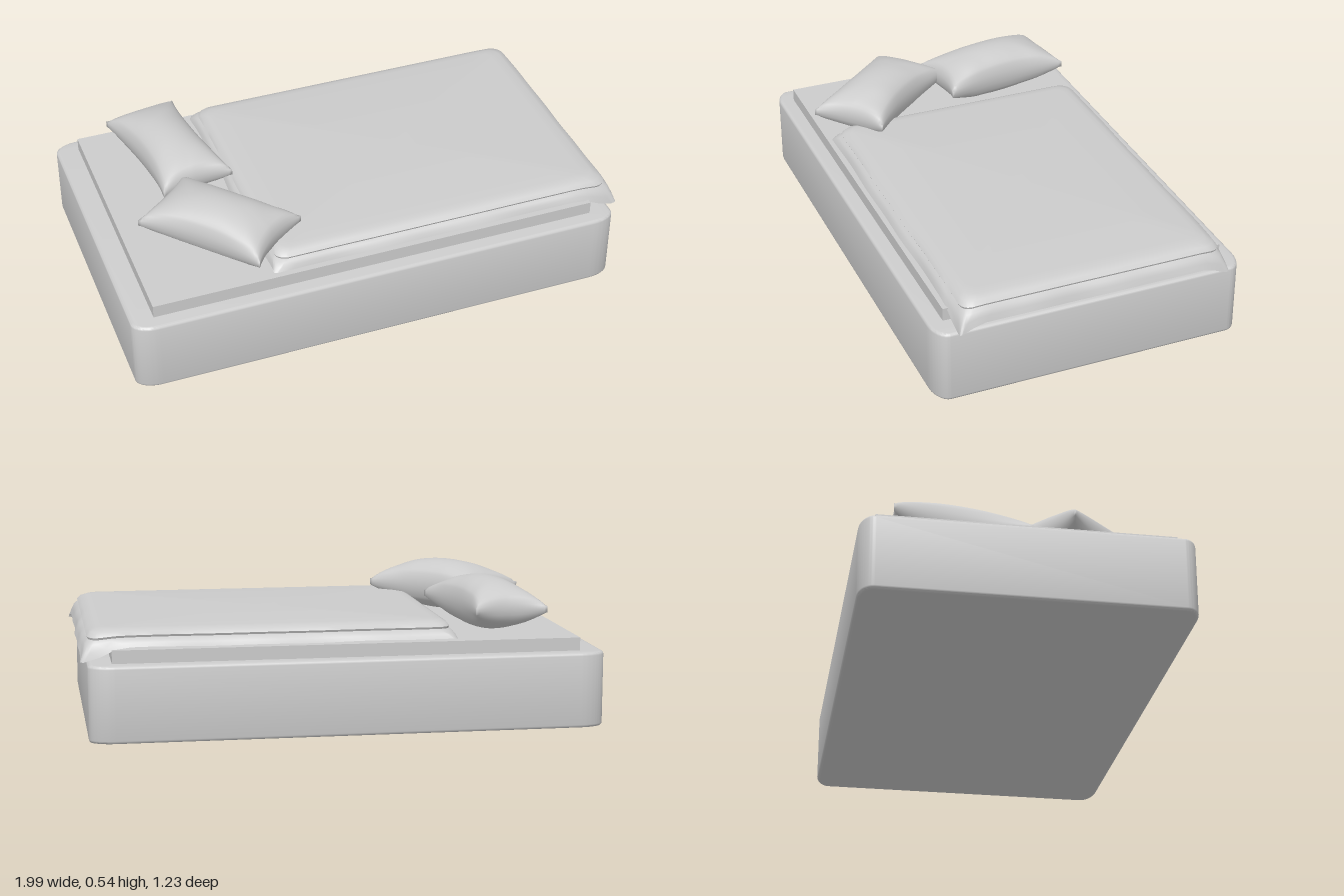
import * as THREE from 'three';
import { mergeVertices, toCreasedNormals } from 'three/addons/utils/BufferGeometryUtils.js';

const material = new THREE.MeshStandardMaterial({ color: 0xcccccc, side: THREE.DoubleSide });

function addMesh(parent, name, geometry) {
  const mesh = new THREE.Mesh(geometry, material);
  mesh.name = name;
  parent.add(mesh);
  return mesh;
}

// Rounded slab: elliptical plan corners and a small bevel on top and bottom
function slab(hx, hz, height, rx, rz, bevel) {
  const a = hx - bevel, b = hz - bevel, shape = new THREE.Shape();
  shape.moveTo(a, -b + rz);
  [[1, 1, 0], [-1, 1, 1], [-1, -1, 2], [1, -1, 3]].forEach(([sx, sz, q]) =>
    shape.absellipse(sx * (a - rx), sz * (b - rz), rx, rz, q * Math.PI / 2, (q + 1) * Math.PI / 2, false));
  const geometry = new THREE.ExtrudeGeometry(shape, {
    depth: height - 2 * bevel, bevelSize: bevel, bevelThickness: bevel, bevelSegments: 3, curveSegments: 10,
  });
  geometry.rotateX(-Math.PI / 2).translate(0, bevel, 0);
  return toCreasedNormals(geometry, 0.6);
}

// Points round a rounded rectangle, with the same count for every ring
function ringPoints(x0, x1, hz, r) {
  const corners = [[x1 - r, hz - r], [x0 + r, hz - r], [x0 + r, r - hz], [x1 - r, r - hz]];
  const arcs = corners.map(([cx, cz], q) => Array.from({ length: 7 }, (_, i) => {
    const angle = (q + i / 6) * Math.PI / 2;
    return new THREE.Vector2(cx + r * Math.cos(angle), cz + r * Math.sin(angle));
  }));
  return arcs.flatMap((arc, q) => {
    const next = arcs[(q + 1) % 4][0];
    const edge = Array.from({ length: 23 }, (_, i) => arc[6].clone().lerp(next, (i + 1) / 24));
    return [...arc, ...edge];
  });
}

// Blanket: open sheet of rings running from the flat top down to the hem
function blanketGeometry() {
  // x0, x1, half depth, corner radius, y, y at the foot end, wrinkle size
  const rings = [
    [-0.36, 0.88, 0.455, 0.04, 0.412, 0.412, 0],
    [-0.39, 0.92, 0.480, 0.05, 0.409, 0.409, 0],
    [-0.408, 0.945, 0.502, 0.05, 0.401, 0.400, 0],
    [-0.416, 0.958, 0.514, 0.05, 0.388, 0.385, 0.001],
    [-0.412, 0.955, 0.510, 0.045, 0.380, 0.378, 0.001],
    [-0.422, 0.968, 0.522, 0.045, 0.374, 0.368, 0.002],
    [-0.430, 0.977, 0.531, 0.03, 0.362, 0.348, 0.003],
    [-0.436, 0.985, 0.538, 0.015, 0.346, 0.325, 0.004],
  ];
  const positions = [], index = [];
  let count = 0;
  for (const [x0, x1, hz, r, y, yFoot, wrinkle] of rings) {
    const points = ringPoints(x0, x1, hz, r);
    count = points.length;
    points.forEach((p, i) => {
      const foot = THREE.MathUtils.smoothstep(p.x, 0.82, 0.97);
      const tip = foot * THREE.MathUtils.smoothstep(Math.abs(p.y), 0.44, 0.54);
      const wave = wrinkle * (Math.sin(i * 0.9) + Math.sin(i * 0.37 + 1));
      const drop = tip * (0.41 - yFoot) * 0.35;
      positions.push(p.x + wave * 0.6 + tip * wrinkle, Math.max(y + (yFoot - y) * foot - drop + wave * 0.4, 0.29),
        p.y + Math.sign(p.y) * wave * 0.6);
    });
  }
  for (let k = 0; k < rings.length - 1; k++) {
    for (let i = 0; i < count; i++) {
      const a = k * count + i, b = k * count + (i + 1) % count;
      index.push(a, b, a + count, b, b + count, a + count);
    }
  }
  // Flat middle
  const centre = positions.length / 3;
  positions.push(0.26, 0.413, 0);
  for (let i = 0; i < count; i++) index.push(centre, (i + 1) % count, i);
  const geometry = new THREE.BufferGeometry();
  geometry.setAttribute('position', new THREE.Float32BufferAttribute(positions, 3));
  geometry.setIndex(index);
  return toCreasedNormals(geometry, 0.9);
}

// Pillow: a box puffed in the middle, with pinched sides and pointed corners
function pillowGeometry(length, width, height, phase) {
  let geometry = new THREE.BoxGeometry(2, 2, 2, 28, 2, 40);
  geometry.deleteAttribute('uv');
  geometry.deleteAttribute('normal');
  geometry = mergeVertices(geometry);
  const p = geometry.attributes.position;
  for (let i = 0; i < p.count; i++) {
    const s = p.getX(i), side = p.getY(i), t = p.getZ(i);
    const puff = Math.pow((1 - s * s) * (1 - t * t), 0.52);
    const rim = 0.012 + 0.01 * (1 - s * s * t * t);
    const fold = 0.004 * Math.sin(t * 11 + s * 3 + phase) * Math.abs(s * t) * (1 - s * s);
    p.setXYZ(i,
      s * width / 2 * (1 - 0.2 * (1 - t * t)) + fold,
      side * (rim + (height / 2 - rim) * puff + fold),
      t * length / 2 * (1 - 0.1 * (1 - s * s)));
  }
  geometry.computeVertexNormals();
  return geometry;
}

export function createModel() {
  const model = new THREE.Group();
  model.name = 'bed';

  // Base and mattress
  addMesh(model, 'base', slab(0.98, 0.615, 0.29, 0.085, 0.045, 0.012)).position.x = -0.02;
  addMesh(model, 'mattress', new THREE.BoxGeometry(1.78, 0.06, 1.11)).position.set(-0.02, 0.31, 0);

  addMesh(model, 'blanket', blanketGeometry());

  // Pillows
  const pillows = [
    ['rightPillow', -0.612, 0.442, -0.235, 0.16, 0.01, 0.54, 0.295],
    ['leftPillow', -0.562, 0.442, 0.28, 0.725, 0, 0.53, 0.315],
  ];
  pillows.forEach(([name, x, y, z, turn, tilt, length, width], i) => {
    const pillow = addMesh(model, name, pillowGeometry(length, width, 0.205, i * 2));
    pillow.position.set(x, y, z);
    pillow.rotation.set(0, turn, tilt);
  });

  return model;
}
